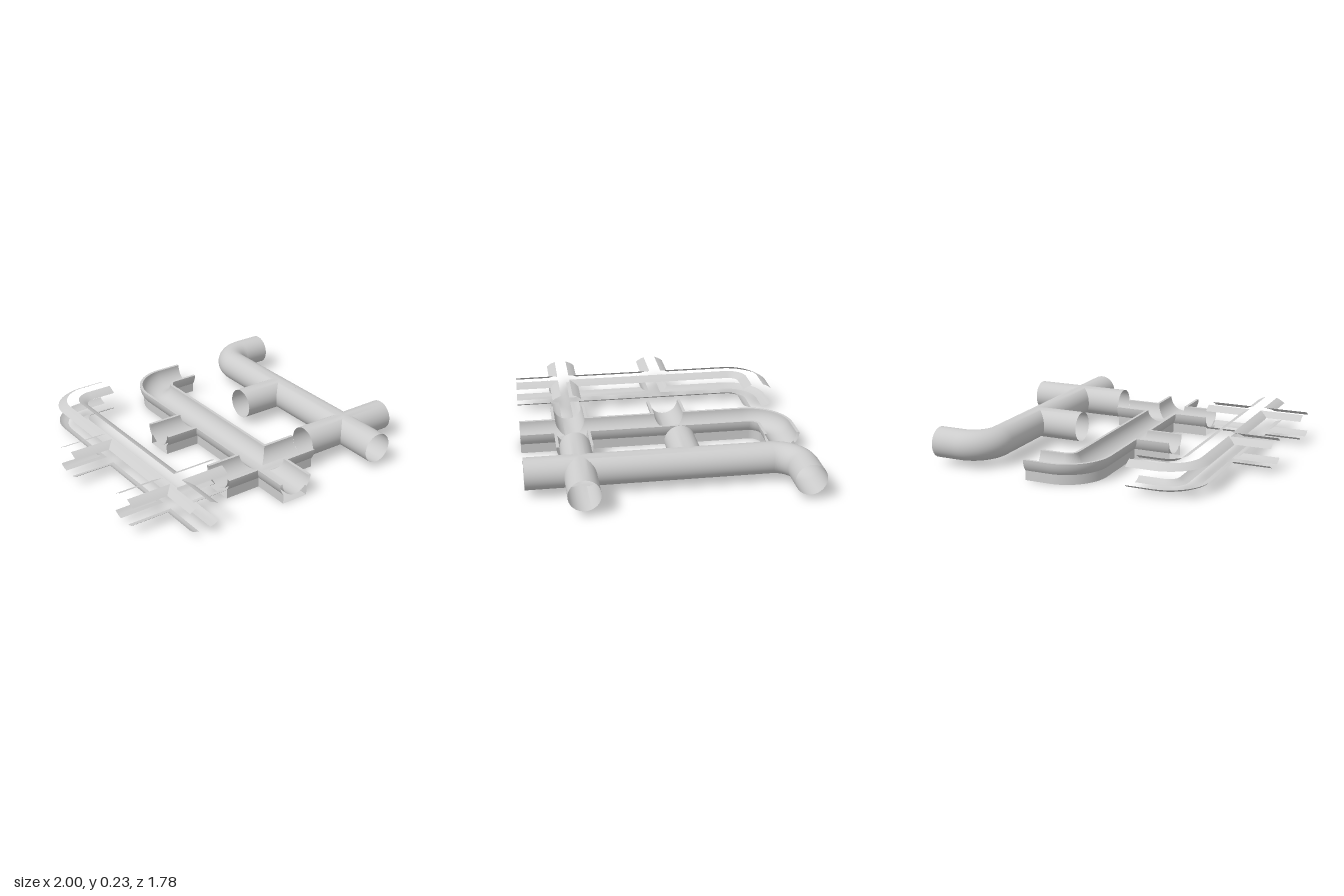
import * as THREE from 'three';
import { mergeGeometries, toCreasedNormals } from 'three/addons/utils/BufferGeometryUtils.js';

const R = 0.098, RIM = 0.117, FOOT = 0.09, AXIS = 0.137;
const END = 0.333, FRONT = 0.89, CROSS = 0.557, TEE = -0.108;
const BEND_R = 0.167, BEND_Z = -0.61;

// Wall lines of the pipe run at a sideways distance d from the centre line,
// all walked with the wall on the right; inside corners are mitred.
const elbow = (radius) => {
  const pts = [];
  for (let i = 0; i <= 18; i++) {
    const a = (i / 18) * Math.PI / 2;
    pts.push([BEND_R - radius * Math.cos(a), BEND_Z - radius * Math.sin(a)]);
  }
  return pts;
};
const paths = [
  // elbow outside, down to the branch
  (d) => [[END, BEND_Z - BEND_R - d], ...elbow(BEND_R + d).reverse(), [-d, TEE - d], [-END, TEE - d]],
  // branch down to the crossing
  (d) => [[-END, TEE + d], [-d, TEE + d], [-d, CROSS - d], [-END, CROSS - d]],
  // crossing to the front end, both sides
  (d) => [[-END, CROSS + d], [-d, CROSS + d], [-d, FRONT]],
  (d) => [[d, FRONT], [d, CROSS + d], [END, CROSS + d]],
  // crossing up to the elbow inside
  (d) => [[END, CROSS - d], [d, CROSS - d], ...elbow(BEND_R - d), [END, BEND_Z - BEND_R + d]],
];

// Sweeps a profile of [d, y] points along one path
function sweep(profile, path) {
  const pos = [], index = [];
  const rows = profile.map(([d, y]) => path(d).map(([x, z]) => [x, y, z]));
  const n = rows[0].length;
  rows.forEach((row) => row.forEach((p) => pos.push(...p)));
  for (let j = 0; j < rows.length - 1; j++) {
    for (let i = 0; i < n - 1; i++) {
      const a = j * n + i, b = a + 1, c = a + n, e = c + 1;
      index.push(a, c, b, b, c, e);
    }
  }
  const geo = new THREE.BufferGeometry();
  geo.setAttribute('position', new THREE.Float32BufferAttribute(pos, 3));
  geo.setIndex(index);
  return geo;
}

function sweepAll(profile) {
  return toCreasedNormals(mergeGeometries(paths.map((p) => sweep(profile, p))), 0.5);
}

// Arc about the pipe axis; angle 0 is straight down, PI straight up
function arc(radius, from, to, steps) {
  const pts = [];
  for (let i = 0; i <= steps; i++) {
    const a = from + (to - from) * (i / steps);
    pts.push([Math.max(0, radius * Math.sin(a)), AXIS - radius * Math.cos(a)]);
  }
  return pts;
}

export function createModel() {
  const gray = new THREE.MeshStandardMaterial({ color: 0xcccccc, side: THREE.DoubleSide });
  gray.name = 'light gray';
  const model = new THREE.Group();
  model.name = 'pipeSet';

  const add = (name, x, profile) => {
    const mesh = new THREE.Mesh(sweepAll(profile), gray);
    mesh.name = name;
    mesh.position.x = x;
    model.add(mesh);
  };

  // Closed round pipe
  add('pipe', 0.667, arc(R, 0, Math.PI, 24));

  // Half pipe channel: bore, flat rim, rounded shell and straight-sided foot
  add('channel', 0, [
    ...arc(R, 0, Math.PI / 2, 12),
    ...arc(RIM, Math.PI / 2, Math.asin(FOOT / RIM), 6),
    [FOOT, 0],
    [0, 0],
  ]);

  // Thin tilted rails above and below
  add('upperRails', -0.667, [[0.098, 0.178], [0.085, 0.188], [0.065, 0.2], [0.04, 0.21]]);
  add('lowerRails', -0.667, [[0.04, 0.04], [0.065, 0.046], [0.085, 0.055], [0.098, 0.066]]);

  return model;
}
